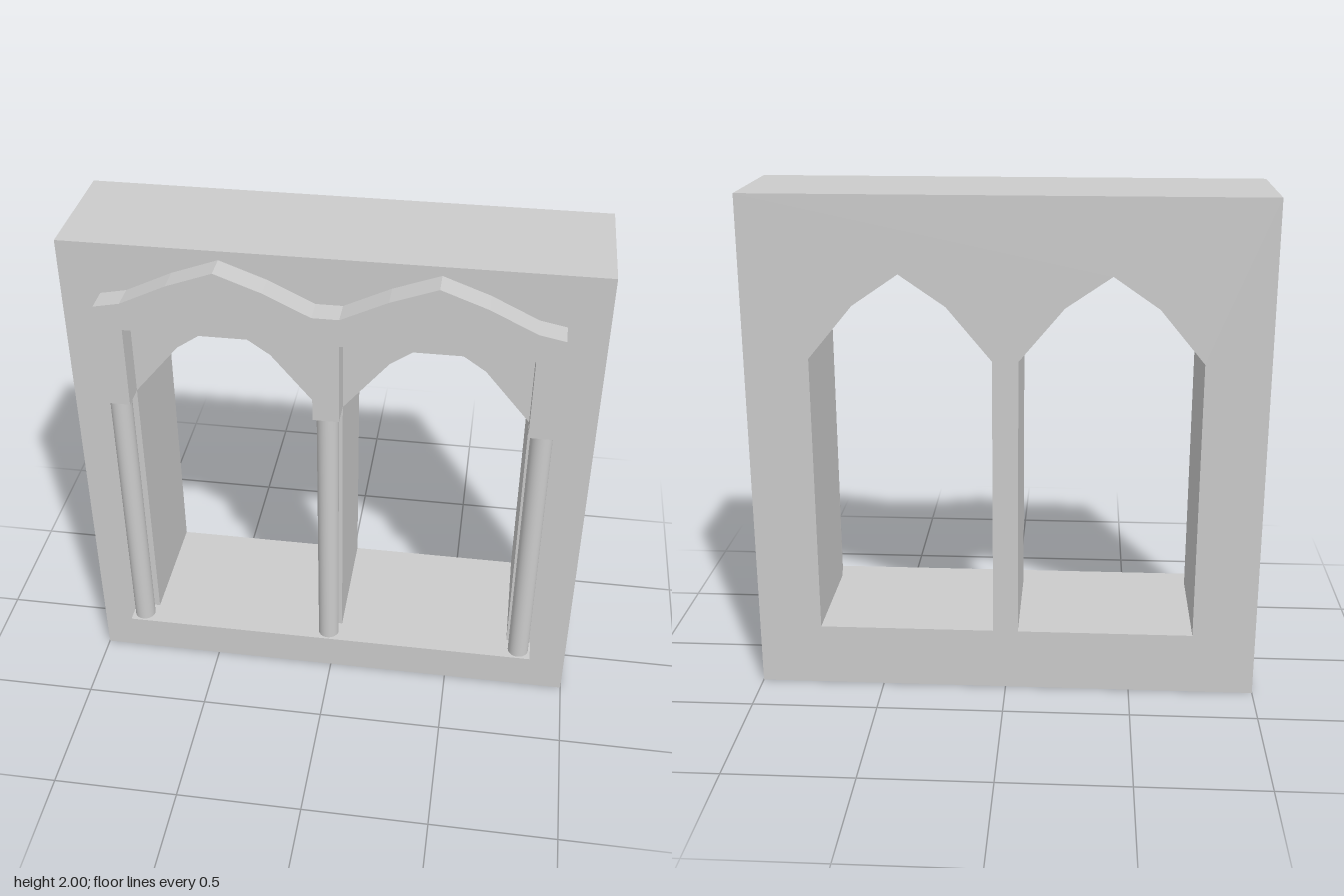
import * as THREE from 'three';

export function createModel() {
  const group = new THREE.Group();
  const flat = new THREE.MeshStandardMaterial({ color: 0xcccccc, flatShading: true });
  const smooth = new THREE.MeshStandardMaterial({ color: 0xcccccc });

  const add = (name, geometry, material, x = 0, y = 0, z = 0) => {
    const mesh = new THREE.Mesh(geometry, material);
    mesh.name = name;
    mesh.position.set(x, y, z);
    group.add(mesh);
  };
  const points = (list) => list.map(([x, y]) => new THREE.Vector2(x, y));
  const extrude = (shape, depth) => new THREE.ExtrudeGeometry(shape, { depth, bevelEnabled: false });

  const sillTop = 0.25, spring = 1.375, apex = 1.705;
  const bays = [-0.4, 0.4];

  // Thick wall pierced by two pointed openings
  const wall = new THREE.Shape(points([[-1, 0], [1, 0], [1, 2], [-1, 2]]));
  for (const x of bays) {
    wall.holes.push(new THREE.Path(points([
      [x - 0.35, sillTop], [x - 0.35, spring], [x - 0.177, 1.583], [x, apex],
      [x + 0.177, 1.583], [x + 0.35, spring], [x + 0.35, sillTop],
    ])));
  }
  add('wall', extrude(wall, 0.5), flat, 0, 0, -0.3);

  // Hood moulding: peaked along the top, square-cut above each opening
  const outline = [[-0.85, spring], [-0.85, 1.795]];
  for (const x of bays) {
    outline.push([x - 0.35, 1.815], [x - 0.175, 1.9], [x, 1.965], [x + 0.175, 1.9], [x + 0.35, 1.815]);
  }
  outline.push([0.85, 1.795], [0.85, spring]);
  for (const x of [0.4, -0.4]) {
    outline.push([x + 0.35, spring], [x + 0.35, apex], [x - 0.35, apex], [x - 0.35, spring]);
  }
  add('hoodMoulding', extrude(new THREE.Shape(points(outline)), 0.1), flat, 0, 0, 0.2);

  // Slender columns between sill and hood
  for (const [name, x] of [['rightColumn', -0.8], ['middleColumn', 0], ['leftColumn', 0.8]]) {
    const height = spring - sillTop;
    add(name, new THREE.CylinderGeometry(0.042, 0.042, height, 24), smooth, x, sillTop + height / 2, 0.25);
  }

  // Projecting sill
  add('sill', new THREE.BoxGeometry(1.7, 0.09, 0.1), flat, 0, 0.205, 0.25);

  return group;
}
